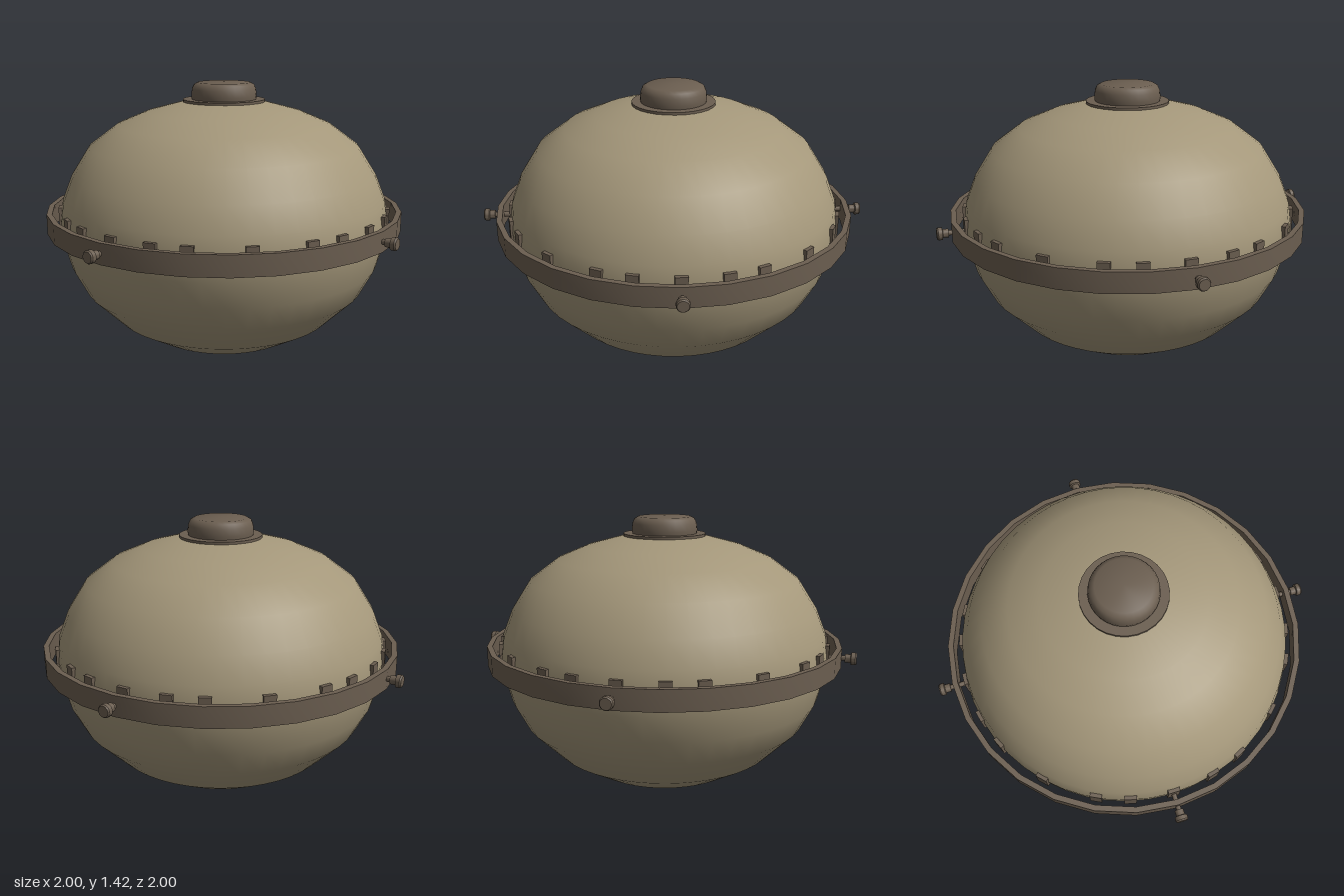
import * as THREE from 'three';
import { toCreasedNormals } from 'three/addons/utils/BufferGeometryUtils.js';

const RING_Y = 0.735;

function lathe(points, segments, crease) {
  const geo = new THREE.LatheGeometry(points.map(([r, y]) => new THREE.Vector2(r, y)), segments);
  return crease ? toCreasedNormals(geo, crease) : geo;
}

function add(parent, name, geometry, material) {
  const mesh = new THREE.Mesh(geometry, material);
  mesh.name = name;
  parent.add(mesh);
  return mesh;
}

export function createModel() {
  const model = new THREE.Group();
  model.name = 'gimbalSphere';

  const shell = new THREE.MeshStandardMaterial({ color: 0xa4977a });
  shell.name = 'tan shell';
  const metal = new THREE.MeshStandardMaterial({ color: 0x6b5e50 });
  metal.name = 'dark brown metal';

  // Flattened round body, bottom to top
  add(model, 'body', lathe([
    [0, 0.005], [0.19, 0.027], [0.4, 0.1], [0.58, 0.205], [0.74, 0.365],
    [0.81, 0.5], [0.845, 0.63], [0.855, 0.735], [0.84, 0.84],
    [0.79, 0.965], [0.697, 1.11], [0.555, 1.215], [0.4, 1.28], [0.2, 1.333], [0, 1.34],
  ], 48), shell);

  // Hatch on top: thin flange and rounded cap
  add(model, 'hatchFlange', lathe([
    [0, 1.322], [0.212, 1.322], [0.212, 1.343], [0, 1.343],
  ], 28, 0.6), metal);
  add(model, 'hatchCap', lathe([
    [0.165, 1.335], [0.169, 1.36], [0.165, 1.395], [0.155, 1.417], [0.135, 1.428], [0, 1.43],
  ], 32, 0.9), metal);

  // Band standing clear of the body
  add(model, 'equatorRing', lathe([
    [0.897, 0.682], [0.925, 0.682], [0.925, 0.785], [0.897, 0.785], [0.897, 0.682],
  ], 28, 0.6), metal);

  // Four pivots that carry the ring, and latches repeated every quarter turn
  const pinGeo = lathe([
    [0, 0.84], [0.013, 0.84], [0.013, 0.942], [0.022, 0.942], [0.022, 0.97],
    [0.032, 0.973], [0.032, 0.993], [0.027, 1], [0, 1],
  ], 14, 0.6).rotateX(Math.PI / 2);
  const latchGeo = new THREE.BoxGeometry(0.06, 0.13, 0.035);

  for (let quarter = 0; quarter < 4; quarter++) {
    const side = new THREE.Group();
    side.name = 'quarter' + (quarter + 1);
    side.rotation.y = quarter * Math.PI / 2;
    model.add(side);

    add(side, 'pivotPin', pinGeo, metal).position.y = RING_Y;
    for (const degrees of [-26, -14.5, 0, 14.5, 26, 45]) {
      const a = THREE.MathUtils.degToRad(degrees);
      const latch = add(side, 'latch', latchGeo, metal);
      latch.position.set(Math.sin(a) * 0.846, RING_Y, Math.cos(a) * 0.846);
      latch.rotation.y = a;
    }
  }
  return model;
}
